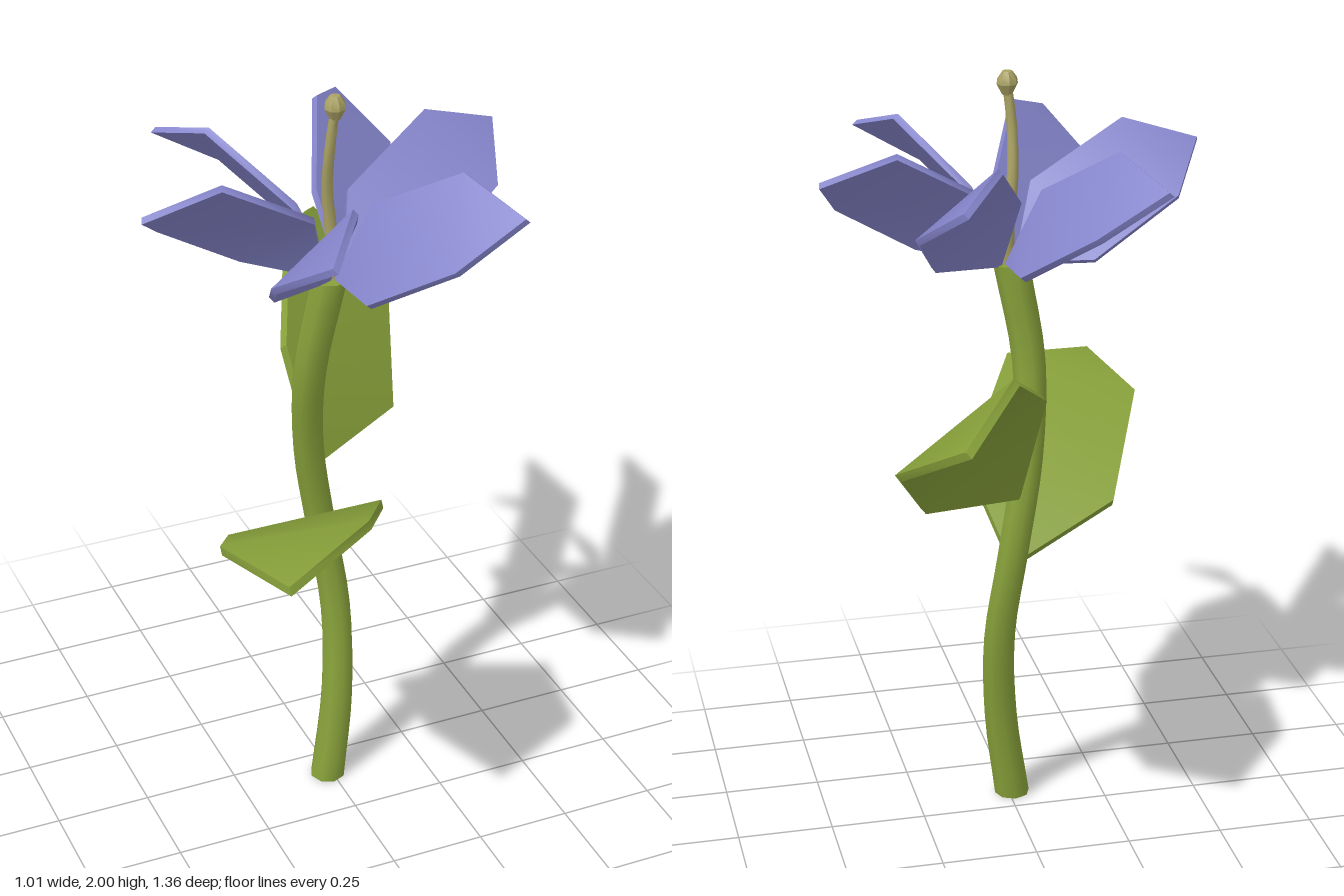
import * as THREE from 'three';
import { toCreasedNormals } from 'three/addons/utils/BufferGeometryUtils.js';

const GREEN = 0x87a03a, VIOLET = 0x8585cc, STRAW = 0xaaa264;
const V = (p) => new THREE.Vector3(...p);

function makeMesh(name, geometry, color) {
  const mesh = new THREE.Mesh(geometry, new THREE.MeshStandardMaterial({ color }));
  mesh.name = name;
  return mesh;
}

// Arched six-cornered blade: base, two right corners, tip, two left corners
function bladeGeometry(points, thickness) {
  const p = points.map(V);
  const length = p[3].clone().sub(p[0]);
  const across = p[1].clone().sub(p[5]);
  const offset = across.cross(length).normalize().multiplyScalar(thickness / 2);
  const top = p.map((v) => v.clone().add(offset));
  const bottom = p.map((v) => v.clone().sub(offset));
  const positions = [];
  const tri = (a, b, c) => [a, b, c].forEach((v) => positions.push(v.x, v.y, v.z));
  // Base triangle, middle quad, tip triangle on each side
  for (const [a, b, c] of [[0, 1, 5], [1, 2, 5], [2, 4, 5], [2, 3, 4]]) {
    tri(top[a], top[b], top[c]);
    tri(bottom[a], bottom[c], bottom[b]);
  }
  // Rim
  for (let i = 0; i < 6; i++) {
    const j = (i + 1) % 6;
    tri(top[i], bottom[i], bottom[j]);
    tri(top[i], bottom[j], top[j]);
  }
  const geometry = new THREE.BufferGeometry();
  geometry.setAttribute('position', new THREE.Float32BufferAttribute(positions, 3));
  geometry.computeVertexNormals();
  return toCreasedNormals(geometry, 0.8);
}

// Upright rod whose level rings follow a curve; radiusAt gives its thickness
function rodGeometry(points, sides, rings, radiusAt) {
  const curve = new THREE.CatmullRomCurve3(points.map(V), false, 'catmullrom');
  const geometry = new THREE.CylinderGeometry(1, 1, 1, sides, rings);
  const pos = geometry.attributes.position;
  for (let i = 0; i < pos.count; i++) {
    const t = pos.getY(i) + 0.5;
    const c = curve.getPoint(t);
    const r = radiusAt(t);
    pos.setXYZ(i, c.x + pos.getX(i) * r, c.y, c.z + pos.getZ(i) * r);
  }
  geometry.computeVertexNormals();
  return toCreasedNormals(geometry, 0.9);
}

export function createModel() {
  const model = new THREE.Group();
  model.name = 'flower';

  // Winding stem
  const stemPath = [
    [-0.01, 0, 0.085], [0.025, 0.25, 0.065], [0.036, 0.5, 0.027], [0.005, 0.75, 0],
    [-0.035, 1, 0.015], [-0.05, 1.25, 0.06], [-0.01, 1.51, 0.087],
  ];
  model.add(makeMesh('stem', rodGeometry(stemPath, 8, 24, (t) => 0.041 + 0.006 * (2 * t - 1) ** 2), GREEN));

  // Leaves
  const frontLeaf = [
    [0, 0.69, 0.04], [0.08, 0.915, 0.22], [-0.103, 1.09, 0.55],
    [-0.36, 1.045, 0.675], [-0.425, 1.01, 0.4], [-0.285, 0.825, 0.09],
  ];
  const backLeaf = [
    [0, 0.915, -0.02], [0.27, 0.955, -0.15], [0.387, 1.175, -0.452],
    [0.263, 1.31, -0.675], [0.1, 1.392, -0.45], [-0.045, 1.22, -0.125],
  ];
  model.add(makeMesh('frontLeaf', bladeGeometry(frontLeaf, 0.022), GREEN));
  model.add(makeMesh('backLeaf', bladeGeometry(backLeaf, 0.022), GREEN));

  // Ring of petals, each tilted like a propeller blade
  const petal = bladeGeometry([
    [0.02, 1.51, 0.01], [0.216, 1.54, 0.09], [0.43, 1.68, 0.015],
    [0.492, 1.785, -0.15], [0.3, 1.842, -0.14], [0.065, 1.7, -0.07],
  ], 0.018);
  const petals = new THREE.Group();
  petals.name = 'petals';
  petals.position.set(0.003, 0, 0.085);
  for (const degrees of [0, 70, 130, 190, 250, 310]) {
    const mesh = makeMesh('petal', petal, VIOLET);
    mesh.rotation.y = -THREE.MathUtils.degToRad(degrees);
    petals.add(mesh);
  }
  model.add(petals);

  // Pistil with a faceted knob
  const pistilPath = [
    [0, 1.5, 0.085], [0, 1.62, 0.075], [-0.012, 1.74, 0.078], [-0.015, 1.86, 0.1], [-0.005, 1.96, 0.107],
  ];
  model.add(makeMesh('pistil', rodGeometry(pistilPath, 8, 12, (t) => 0.018 - 0.006 * t), STRAW));
  const profile = [[0, 0], [0.013, 0.003], [0.027, 0.03], [0.025, 0.045], [0.013, 0.062], [0, 0.065]];
  const knob = makeMesh('pistilKnob',
    toCreasedNormals(new THREE.LatheGeometry(profile.map(([x, y]) => new THREE.Vector2(x, y)), 8), 0.5), STRAW);
  knob.position.set(-0.005, 1.935, 0.107);
  model.add(knob);

  return model;
}
